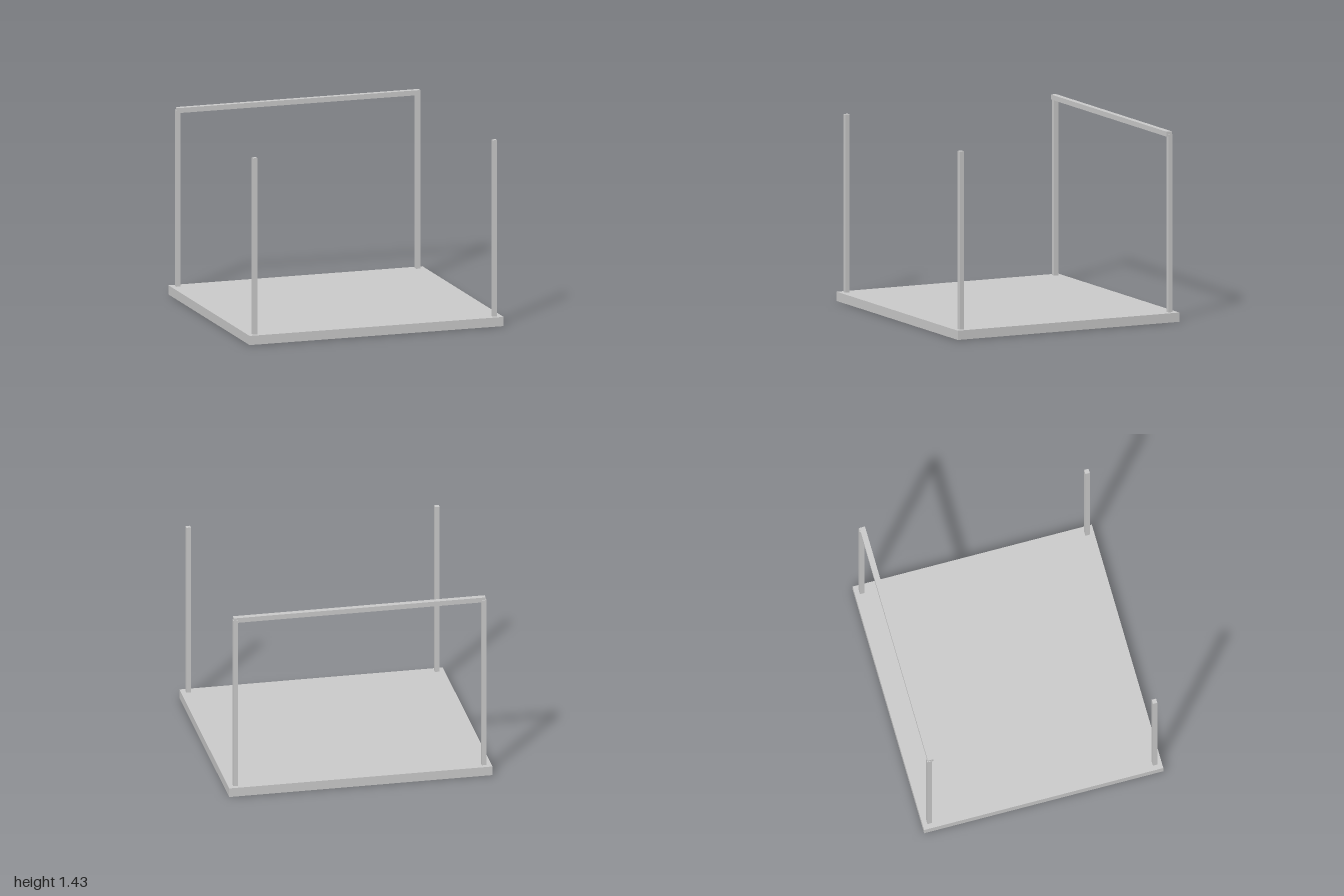
import * as THREE from 'three';

export function createModel() {
  const model = new THREE.Group();
  const material = new THREE.MeshStandardMaterial({ color: 0xcccccc, flatShading: true });

  function box(name, size, position) {
    const mesh = new THREE.Mesh(new THREE.BoxGeometry(...size), material);
    mesh.name = name;
    mesh.position.set(...position);
    model.add(mesh);
  }

  // Floor slab
  const floorHeight = 0.07;
  box('floorSlab', [2, floorHeight, 1.846], [0, floorHeight / 2, 0]);

  // Four slim corner posts
  const postTop = 1.413;
  const postHeight = postTop - floorHeight;
  for (const [side, x] of [['Left', 0.944], ['Right', -0.944]]) {
    for (const [end, z] of [['front', 0.87], ['back', -0.87]]) {
      box(`${end}${side}Post`, [0.034, postHeight, 0.034], [x, floorHeight + postHeight / 2, z]);
    }
  }

  // Beam across the back posts, set slightly inward
  box('backBeam', [1.912, 0.038, 0.042], [0, 1.414, -0.861]);

  return model;
}
